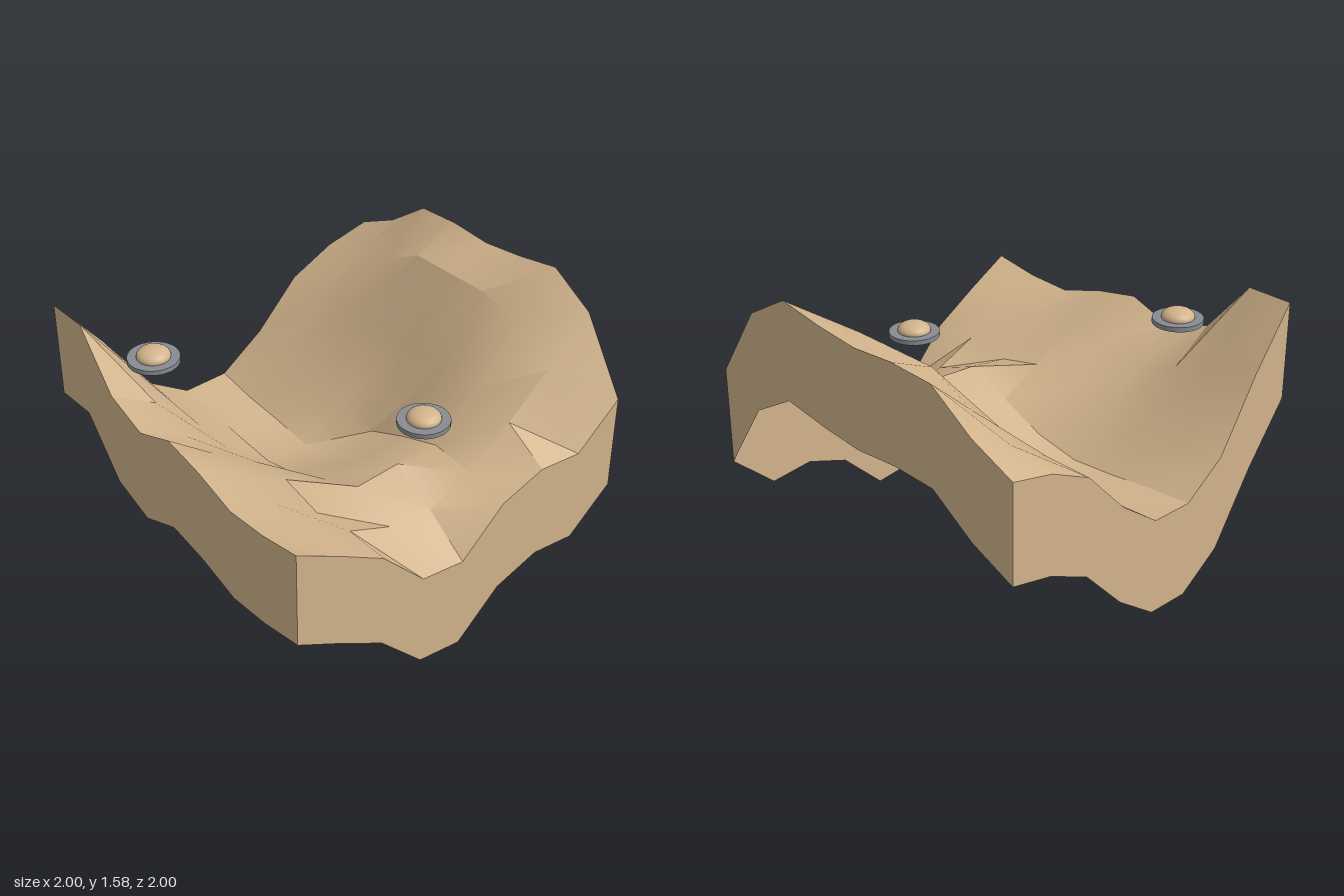
import * as THREE from 'three';
import { toCreasedNormals } from 'three/addons/utils/BufferGeometryUtils.js';

const CELLS = 8;
const SKIRT = 0.53;

// terrain heights: one row per z from back to front, x from -1 to 1
const HEIGHTS = [
  [1.19, 1.31, 1.49, 1.51, 1.50, 1.535, 1.585, 1.445, 1.06],
  [1.13, 1.18, 1.27, 1.40, 1.41, 1.42, 1.37, 1.21, 0.84],
  [1.01, 1.02, 1.04, 1.06, 1.05, 1.07, 1.06, 1.00, 0.86],
  [0.75, 0.75, 0.74, 0.69, 0.63, 0.74, 0.83, 0.81, 0.77],
  [0.57, 0.54, 0.53, 0.51, 0.57, 0.72, 0.83, 0.70, 0.535],
  [0.56, 0.55, 0.53, 0.52, 0.58, 0.70, 0.81, 0.72, 0.56],
  [0.72, 0.73, 0.72, 0.72, 0.78, 0.82, 0.77, 0.82, 0.82],
  [1.09, 1.07, 0.97, 0.91, 0.95, 0.96, 0.95, 0.97, 0.965],
  [1.40, 1.41, 1.12, 1.04, 1.14, 1.10, 1.03, 1.05, 1.10],
];

const coord = (i) => -1 + (2 * i) / CELLS;

// open vertical wall hanging from one edge of the terrain
function wall(points) {
  const positions = [];
  const index = [];
  points.forEach(([x, y, z], i) => {
    positions.push(x, y, z, x, y - SKIRT, z);
    if (i > 0) {
      const a = 2 * i - 2;
      index.push(a, a + 1, a + 2, a + 1, a + 3, a + 2);
    }
  });
  const geo = new THREE.BufferGeometry();
  geo.setAttribute('position', new THREE.Float32BufferAttribute(positions, 3));
  geo.setIndex(index);
  geo.computeVertexNormals();
  return geo;
}

export function createModel() {
  const group = new THREE.Group();
  const sand = new THREE.MeshStandardMaterial({ color: 0xd2b48c, side: THREE.DoubleSide });
  sand.name = 'sand';
  const metal = new THREE.MeshStandardMaterial({ color: 0x888c92 });
  metal.name = 'greyMetal';

  const add = (parent, name, geo, mat) => {
    const mesh = new THREE.Mesh(geo, mat);
    mesh.name = name;
    parent.add(mesh);
    return mesh;
  };

  // terrain surface
  const ground = new THREE.PlaneGeometry(2, 2, CELLS, CELLS).rotateX(-Math.PI / 2);
  const pos = ground.attributes.position;
  HEIGHTS.flat().forEach((h, i) => pos.setY(i, h));
  add(group, 'terrain', toCreasedNormals(ground, 0.5), sand);

  // skirt around the terrain, open below
  const steps = Array.from({ length: CELLS + 1 }, (_, i) => i);
  const back = [...steps].reverse();
  const at = (c, r) => [coord(c), HEIGHTS[r][c], coord(r)];
  add(group, 'frontWall', wall(steps.map((c) => at(c, CELLS))), sand);
  add(group, 'backWall', wall(back.map((c) => at(c, 0))), sand);
  add(group, 'plusXWall', wall(back.map((r) => at(CELLS, r))), sand);
  add(group, 'minusXWall', wall(steps.map((r) => at(0, r))), sand);

  // hovering saucers: flat ring disc with a squashed dome through it
  [[-0.5, 1.237, 0.745], [0.58, 1.097, -0.09]].forEach(([x, y, z], i) => {
    const saucer = new THREE.Group();
    saucer.name = `saucer${i + 1}`;
    saucer.position.set(x, y, z);
    add(saucer, 'disc', new THREE.CylinderGeometry(0.133, 0.133, 0.026, 32), metal);
    const dome = add(saucer, 'dome', new THREE.SphereGeometry(0.087, 32, 16), sand);
    dome.scale.y = 0.52;
    dome.position.y = 0.019;
    group.add(saucer);
  });

  return group;
}
